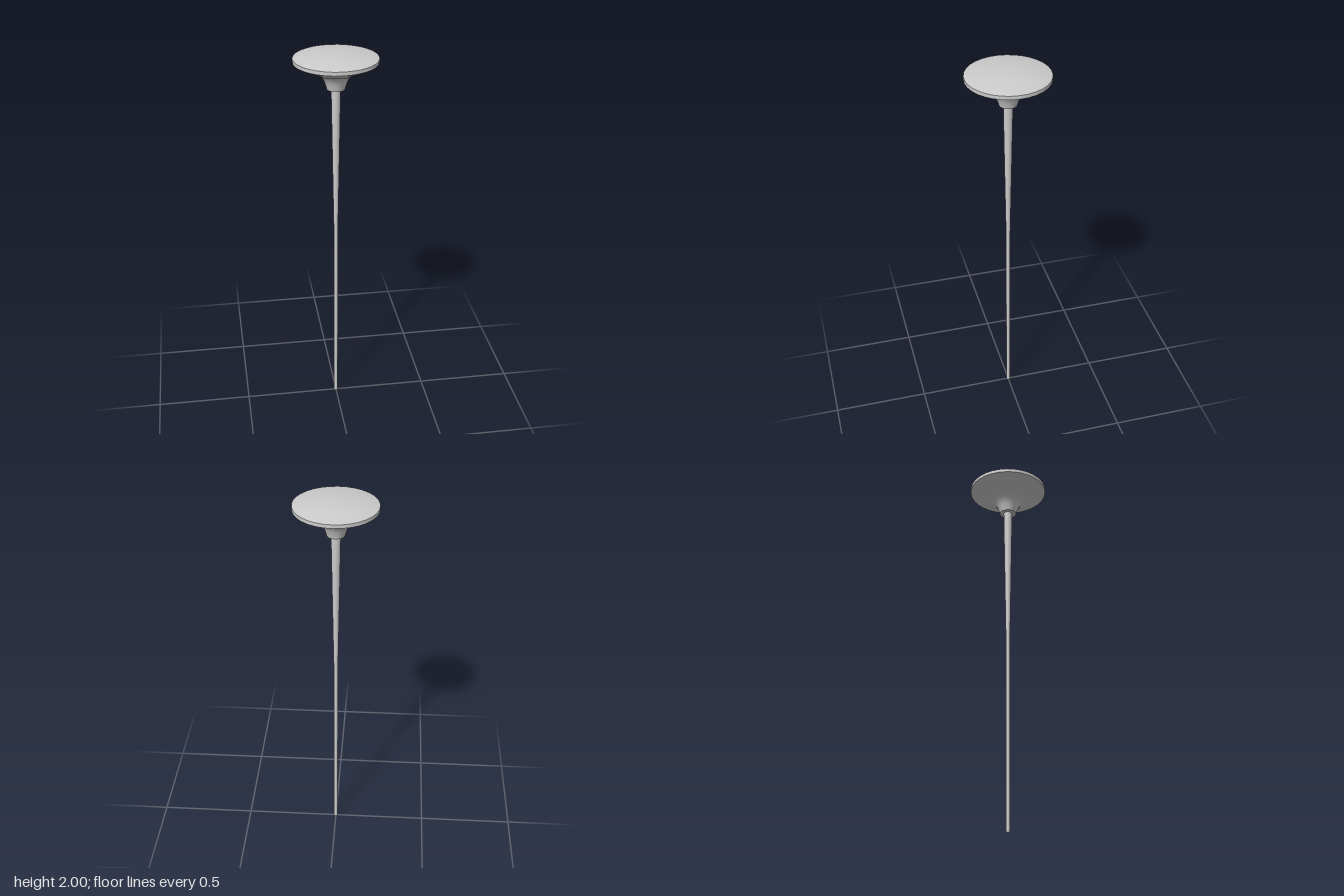
import * as THREE from 'three';

const SIDES = 32;
const material = new THREE.MeshStandardMaterial({ color: 0xcccccc });

// Revolves a profile of [radius, height] points, listed from bottom to top
function turned(name, profile, sides = SIDES) {
  const points = profile.map(([r, y]) => new THREE.Vector2(r, y));
  const mesh = new THREE.Mesh(new THREE.LatheGeometry(points, sides), material);
  mesh.name = name;
  return mesh;
}

export function createModel() {
  const group = new THREE.Group();
  group.name = 'pinWithRoundHead';

  // Slender shaft: straight below, widening towards the head
  const shaft = new THREE.Group();
  shaft.name = 'shaft';
  shaft.add(
    turned('shaftEnd', [[0, 0], [0.0105, 0]], 16),
    turned('lowerShaft', [[0.0105, 0], [0.0105, 1.02]], 16),
    turned('upperShaft', [[0.0105, 1.02], [0.024, 1.82]], 16),
  );

  // Flared head, kept in separate surfaces so that the rim edges stay sharp
  const head = new THREE.Group();
  head.name = 'head';
  const flare = new THREE.SplineCurve([
    [0.045, 1.818], [0.067, 1.878], [0.113, 1.912], [0.211, 1.957],
  ].map(([r, y]) => new THREE.Vector2(r, y))).getPoints(9).map((p) => [p.x, p.y]);
  const dome = [];
  for (let i = 0; i <= 8; i++) {
    const t = 1 - i / 8;
    dome.push([0.211 * t, 2 - 0.024 * t * t]);
  }
  head.add(
    turned('neckUnderside', [[0, 1.818], [0.045, 1.818]]),
    turned('flare', flare),
    turned('rim', [[0.211, 1.957], [0.211, 1.976]]),
    turned('domedTop', dome),
  );

  group.add(shaft, head);
  return group;
}
